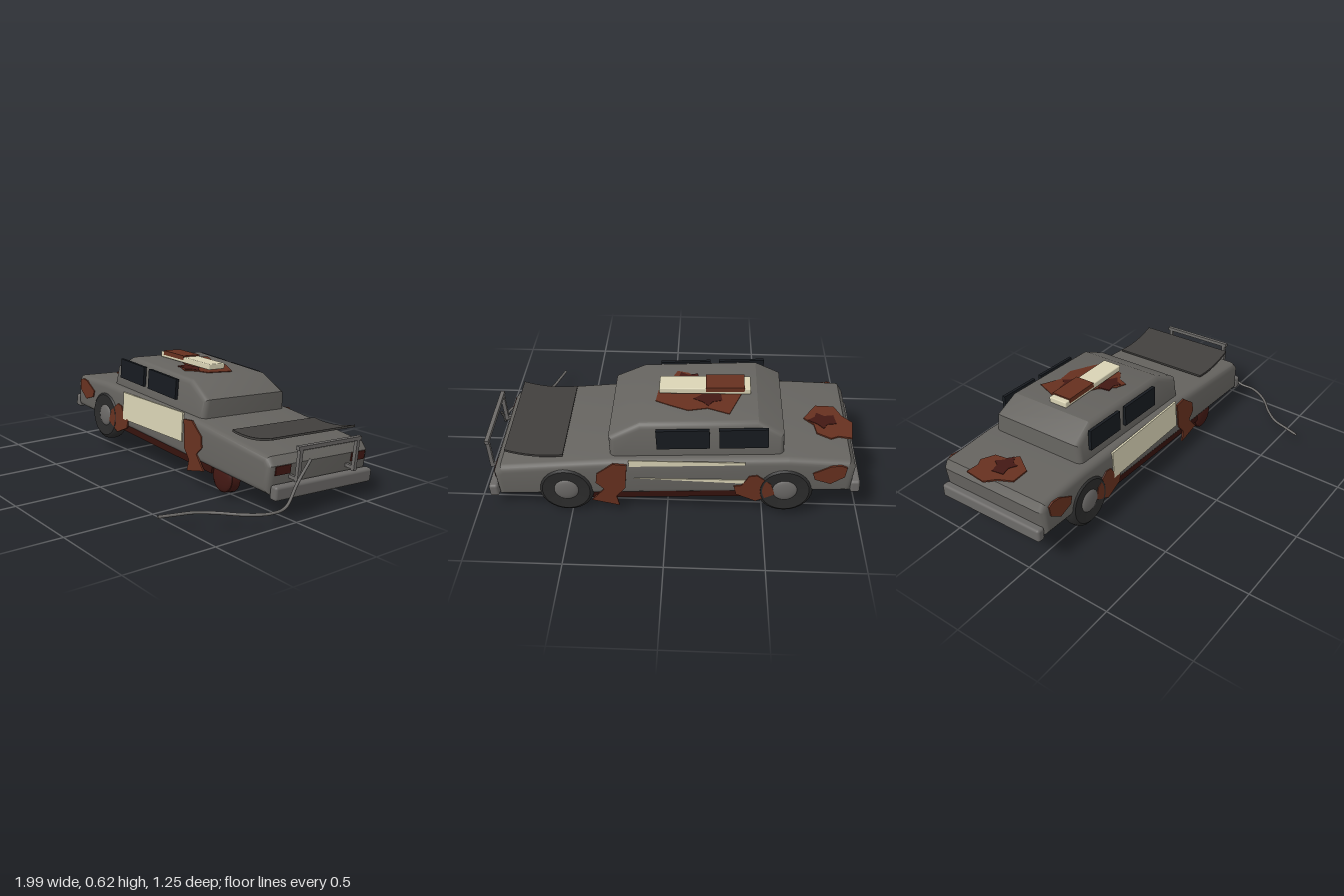
import * as THREE from 'three';
import { toCreasedNormals } from 'three/addons/utils/BufferGeometryUtils.js';
import { RoundedBoxGeometry } from 'three/addons/geometries/RoundedBoxGeometry.js';

const paint = (color) => new THREE.MeshStandardMaterial({ color, side: THREE.DoubleSide });
const M = {
  body: paint(0x65635f), chrome: paint(0x6a6866), lid: paint(0x413f3d), tyre: paint(0x2b2b2b),
  glass: paint(0x171b20), cream: paint(0xd8d2b4), rust: paint(0x66301f), dark: paint(0x421813), floor: paint(0x35120d),
};

function add(parent, name, geo, mat, x = 0, y = 0, z = 0) {
  const mesh = new THREE.Mesh(geo, mat);
  mesh.name = name;
  mesh.position.set(x, y, z);
  parent.add(mesh);
  return mesh;
}

const outline = (pts) => new THREE.Shape(pts.map(([x, y]) => new THREE.Vector2(x, y)));

// Side profile extruded across the car with softened edges
function hull(pts, width, bevel) {
  const geo = new THREE.ExtrudeGeometry(outline(pts), {
    depth: width - 2 * bevel, bevelEnabled: true, bevelSize: bevel, bevelOffset: -bevel,
    bevelThickness: bevel, bevelSegments: 4,
  });
  return geo.translate(0, 0, bevel - width / 2);
}

// Thin irregular plate facing +z
const plate = (pts, depth = 0.01) => new THREE.ExtrudeGeometry(outline(pts), { depth, bevelEnabled: false });
// Thin plate lying flat; points are [x, z]
const flatPlate = (pts, depth) => plate(pts.map(([x, z]) => [x, -z]), depth).rotateX(-Math.PI / 2);

function wheel(parent, name, x, y, side) {
  const g = new THREE.Group();
  g.name = name;
  g.position.set(x, y, side * 0.315);
  const r = 0.148, w = 0.043;
  const profile = [[0.06, -w], [0.125, -w], [0.143, -0.03], [r, -0.012], [r, 0.012], [0.143, 0.03], [0.125, w], [0.06, 0.036]];
  const tyre = new THREE.LatheGeometry(profile.map((p) => new THREE.Vector2(...p)), 28);
  add(g, 'tyre', toCreasedNormals(tyre.rotateX(Math.PI / 2), 0.7), M.tyre);
  const hub = new THREE.SphereGeometry(0.066, 20, 12).scale(1, 1, 0.3);
  add(g, 'hubcap', hub, M.chrome, 0, 0, 0.032);
  add(g, 'innerDisc', new THREE.CylinderGeometry(0.07, 0.07, 0.05, 20).rotateX(Math.PI / 2), M.tyre, 0, 0, -0.015);
  if (side < 0) g.rotation.y = Math.PI;
  parent.add(g);
}

export function createModel() {
  const model = new THREE.Group();
  model.name = 'wreckedCar';

  // The car sits tilted: it sinks towards +x and towards -z
  const car = new THREE.Group();
  car.name = 'car';
  car.position.set(-0.035, 0, -0.253);
  car.rotation.set(-0.045, 0, -0.053);
  model.add(car);

  // Lower body
  const body = hull([[-0.915, 0.15], [-0.935, 0.3], [-0.91, 0.345], [-0.6, 0.37], [0.3, 0.372],
    [0.88, 0.34], [0.918, 0.3], [0.91, 0.15]], 0.7, 0.035);
  add(car, 'body', toCreasedNormals(body, 0.5), M.body);

  // Cabin, narrowing towards the roof
  const cabin = hull([[-0.578, 0.34], [-0.578, 0.475], [-0.45, 0.552], [0.15, 0.552], [0.312, 0.475], [0.312, 0.34]], 0.6, 0.03);
  const p = cabin.attributes.position;
  for (let i = 0; i < p.count; i++) p.setZ(i, p.getZ(i) * (1 - 0.55 * Math.max(0, p.getY(i) - 0.37)));
  add(car, 'cabin', toCreasedNormals(cabin, 0.5), M.body);

  // Underbody
  add(car, 'floorPan', new THREE.BoxGeometry(0.92, 0.05, 0.68), M.floor, 0.01, 0.147, 0);

  // Windows, bumpers and lamps
  for (const s of [-1, 1]) {
    add(car, 'window', new THREE.BoxGeometry(0.245, 0.115, 0.018), M.glass, -0.375, 0.478, s * 0.3);
    add(car, 'window', new THREE.BoxGeometry(0.27, 0.115, 0.018), M.glass, -0.07, 0.478, s * 0.3);
    add(car, 'bumper', new RoundedBoxGeometry(0.05, 0.075, 0.68, 3, 0.015), M.chrome, s * 0.94, 0.172, 0);
    for (const t of [-1, 1]) {
      add(car, 'lamp', new THREE.BoxGeometry(0.02, 0.046, 0.1), M.dark, s * 0.912, 0.275, t * 0.265);
    }
  }

  // Wheels; one corner has only a bare rusty drum
  wheel(car, 'frontWheel', -0.58, 0.168, 1);
  wheel(car, 'frontWheel', -0.58, 0.168, -1);
  wheel(car, 'rearWheel', 0.55, 0.19, -1);
  const drum = new THREE.CylinderGeometry(0.08, 0.085, 0.05, 20).rotateX(Math.PI / 2);
  add(car, 'bareDrum', drum, M.dark, 0.545, 0.123, 0.3);
  add(car, 'drumCap', new THREE.SphereGeometry(0.078, 20, 12).scale(1, 1, 0.25), M.dark, 0.545, 0.123, 0.322);

  // Pale door panels: whole on one side, mostly sunk into the body on the other
  add(car, 'doorPanel', new THREE.BoxGeometry(0.59, 0.163, 0.012), M.cream, -0.085, 0.292, 0.351).rotation.z = 0.05;
  add(car, 'sunkenPanelTop', plate([[0.21, 0.345], [0.21, 0.385], [-0.38, 0.36], [-0.38, 0.345]], 0.006), M.cream, 0, 0, -0.354);
  add(car, 'sunkenPanelBottom', plate([[0.19, 0.265], [-0.38, 0.22], [-0.38, 0.245]], 0.006), M.cream, 0, 0, -0.354);

  // Rust patches, same on both flanks
  const patches = [
    [[-0.89, 0.32], [-0.86, 0.335], [-0.81, 0.33], [-0.72, 0.285], [-0.73, 0.245], [-0.81, 0.215], [-0.88, 0.26]],
    [[-0.51, 0.215], [-0.44, 0.275], [-0.4, 0.27], [-0.36, 0.21], [-0.32, 0.205], [-0.33, 0.15], [-0.43, 0.1], [-0.53, 0.145]],
    [[0.22, 0.355], [0.29, 0.365], [0.38, 0.3], [0.39, 0.24], [0.35, 0.195], [0.42, 0.12], [0.28, 0.08], [0.29, 0.145], [0.24, 0.2]],
  ];
  for (const pts of patches) {
    add(car, 'sideRust', plate(pts), M.rust, 0, 0, 0.347);
    add(car, 'sideRust', plate(pts), M.rust, 0, 0, -0.357);
  }
  const hole = [[-0.07, -0.02], [-0.02, -0.03], [0, -0.065], [0.03, -0.03], [0.08, 0], [0.04, 0.03], [0.03, 0.065], [-0.01, 0.04], [-0.06, 0.05]];
  add(car, 'roofRust', flatPlate([[-0.305, -0.2], [-0.195, -0.15], [-0.095, -0.165], [0, -0.12], [0.075, -0.08],
    [0.055, 0.08], [-0.005, 0.12], [-0.03, 0.18], [-0.09, 0.16], [-0.165, 0.08], [-0.375, -0.02]], 0.006), M.rust, 0, 0.55, 0);
  add(car, 'roofHole', flatPlate(hole, 0.006), M.dark, -0.08, 0.552, 0.1);
  add(car, 'roofHole', flatPlate(hole, 0.006), M.dark, -0.2, 0.552, -0.07);
  const hoodRust = new THREE.Group();
  hoodRust.name = 'hoodRust';
  hoodRust.position.set(-0.81, 0.352, -0.03);
  hoodRust.rotation.z = 0.075;
  add(hoodRust, 'rustPatch', flatPlate([[-0.125, -0.13], [-0.055, -0.12], [-0.015, -0.14], [0.055, -0.1], [0.065, -0.03],
    [0.115, 0.02], [0.045, 0.13], [-0.055, 0.13], [-0.09, 0.05], [-0.14, 0]], 0.009), M.rust);
  add(hoodRust, 'rustHole', flatPlate(hole, 0.006), M.dark, 0.015, 0.006, 0);
  car.add(hoodRust);

  // Roof light bar with one rusty half
  const bar = new THREE.Group();
  bar.name = 'lightBar';
  bar.position.set(-0.18, 0.577, 0.02);
  bar.rotation.z = 0.035;
  add(bar, 'barBase', new RoundedBoxGeometry(0.475, 0.034, 0.115, 2, 0.006), M.cream);
  add(bar, 'rustyCover', new THREE.BoxGeometry(0.2, 0.026, 0.119), M.rust, -0.105, 0.012, 0);
  car.add(bar);

  // Sprung rear lid, slightly dished
  const lid = new THREE.BoxGeometry(0.3, 0.012, 0.59, 8, 1, 1);
  const q = lid.attributes.position;
  for (let i = 0; i < q.count; i++) q.setY(i, q.getY(i) + 0.8 * q.getX(i) ** 2);
  add(car, 'rearLid', lid, M.lid, 0.705, 0.378, 0).rotation.z = 0.13;

  // Push bar behind the rear bumper
  const frame = new THREE.Group();
  frame.name = 'pushBar';
  frame.position.set(0.967, 0, 0);
  for (const z of [-0.19, 0.21]) add(frame, 'post', new THREE.BoxGeometry(0.02, 0.18, 0.02), M.chrome, 0, 0.31, z);
  add(frame, 'crossBar', new THREE.BoxGeometry(0.022, 0.02, 0.44), M.chrome, 0, 0.395, 0.01);
  for (const z of [-0.19, 0.21]) add(frame, 'bracket', new THREE.BoxGeometry(0.07, 0.018, 0.018), M.chrome, -0.03, 0.235, z);
  car.add(frame);

  // Tow cable hanging down and trailing along the ground
  const path = new THREE.CatmullRomCurve3([[0.95, 0.28, -0.13], [0.965, 0.18, -0.03], [0.985, 0.085, 0.06], [0.988, 0.076, 0.16],
    [0.93, 0.076, 0.265], [0.83, 0.076, 0.36], [0.765, 0.076, 0.44], [0.735, 0.076, 0.53], [0.71, 0.076, 0.615],
  ].map((v) => new THREE.Vector3(...v)));
  add(model, 'towCable', new THREE.TubeGeometry(path, 60, 0.008, 8), M.chrome);

  return model;
}
